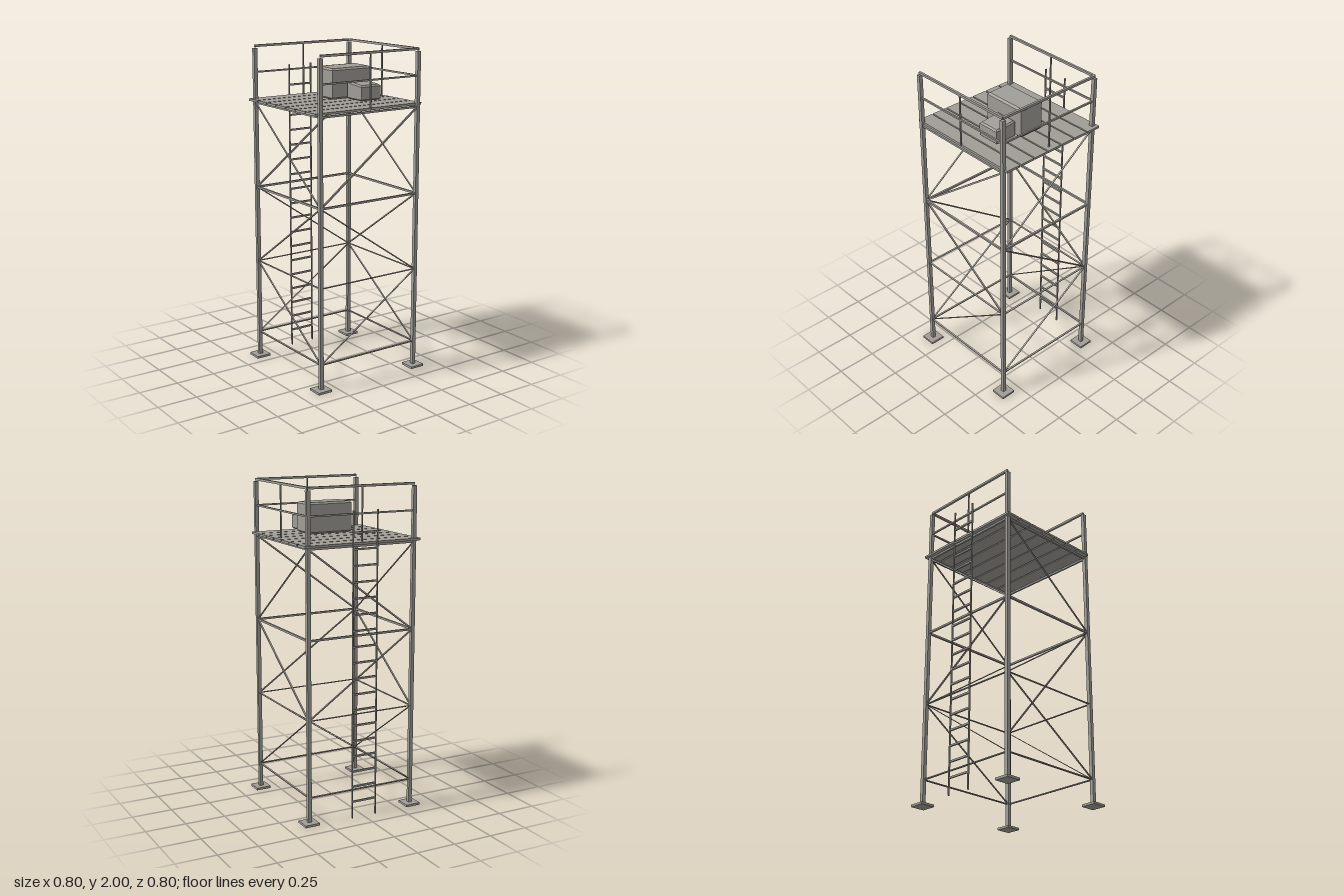
import * as THREE from 'three';

const steel = new THREE.MeshStandardMaterial({ color: 0xa09d97, flatShading: true });
steel.name = 'grey steel';

export function createModel() {
  const model = new THREE.Group();
  model.name = 'watchtower';

  const section = (name) => {
    const g = new THREE.Group();
    g.name = name;
    model.add(g);
    return g;
  };

  const block = (parent, name, size, pos) => {
    const m = new THREE.Mesh(new THREE.BoxGeometry(...size), steel);
    m.name = name;
    m.position.set(...pos);
    parent.add(m);
    return m;
  };

  // Bar from a to b: depth is measured out of the tower face, height within it
  const bar = (parent, name, a, b, depth, height = depth) => {
    const p = new THREE.Vector3(...a), q = new THREE.Vector3(...b);
    const m = block(parent, name, [depth, height, p.distanceTo(q)], [0, 0, 0]);
    m.position.copy(p).add(q).multiplyScalar(0.5);
    m.lookAt(q);
  };

  const R = 0.35;
  const levels = [0.165, 0.64, 1.12, 1.65];

  // Legs and foot plates
  const legs = section('legs');
  for (const x of [-R, R]) {
    for (const z of [-R, R]) {
      block(legs, 'leg', [0.023, 1.97, 0.023], [x, 0.995, z]);
      block(legs, 'footPlate', [0.095, 0.014, 0.095], [x, 0.007, z]);
    }
  }

  // Horizontal beams and zigzag diagonals on all four faces, some of flat strip
  const frame = section('bracing');
  const beamHeight = [0.006, 0.004, 0.012, 0.012];
  const crossHeight = [0.004, 0.007, 0.01];
  const sideHeight = [0.004, 0.007, 0.004];
  for (const s of [-R, R]) {
    levels.forEach((y, i) => {
      bar(frame, 'crossBeam', [-R, y, s], [R, y, s], 0.012, beamHeight[i]);
      bar(frame, 'sideBeam', [s, y, -R], [s, y, R], 0.012, beamHeight[i]);
      if (i === 3) return;
      const d = i % 2 ? -1 : 1;
      const y2 = levels[i + 1];
      bar(frame, 'crossBrace', [-R * d, y, s], [R * d, y2, s], 0.01, crossHeight[i]);
      bar(frame, 'sideBrace', [s, y, R * d], [s, y2, -R * d], 0.01, sideHeight[i]);
    });
  }

  // Deck planks
  const deck = section('deck');
  for (let i = 0; i < 7; i++) {
    block(deck, 'plank', [0.764, 0.014, 0.096], [0, 1.666, -0.329 + i * 0.1047]);
  }

  // Guard rails on three sides, open on the -x side
  const rails = section('guardRails');
  const sides = [
    [[-R, R], [R, R]],
    [[-R, -R], [R, -R]],
    [[R, -R], [R, R]],
  ];
  for (const [[ax, az], [bx, bz]] of sides) {
    bar(rails, 'topRail', [ax, 1.993, az], [bx, 1.993, bz], 0.014);
    bar(rails, 'midRail', [ax, 1.835, az], [bx, 1.835, bz], 0.01);
    const mx = (ax + bx) / 2, mz = (az + bz) / 2;
    block(rails, 'railPost', [0.008, 0.32, 0.008], [mx, 1.83, mz]);
  }

  // Ladder behind the tower
  const ladder = section('ladder');
  for (const x of [-0.08, 0.08]) {
    block(ladder, 'ladderRail', [0.006, 1.86, 0.01], [x, 0.93, -0.39]);
  }
  for (let i = 0; i < 18; i++) {
    block(ladder, 'rung', [0.16, 0.011, 0.011], [0, 0.104 + i * 0.0958, -0.388]);
  }

  // Bevelled crates on the deck
  const crate = (name, [w, h, d], pos, bevel, slope) => {
    const a = w / 2 - bevel, b = d / 2 - bevel;
    const shape = new THREE.Shape([
      new THREE.Vector2(-a, -b), new THREE.Vector2(a, -b),
      new THREE.Vector2(a, b), new THREE.Vector2(-a, b),
    ]);
    const geo = new THREE.ExtrudeGeometry(shape, {
      depth: h - 2 * bevel, bevelEnabled: true, bevelSize: bevel,
      bevelThickness: bevel, bevelSegments: 1,
    });
    geo.rotateX(-Math.PI / 2);
    geo.translate(0, bevel, 0);
    // Lower the lid slightly toward the front
    const p = geo.attributes.position;
    for (let i = 0; i < p.count; i++) {
      if (p.getY(i) > h / 2) p.setY(i, p.getY(i) - slope * (p.getZ(i) / d + 0.5));
    }
    geo.computeVertexNormals();
    const m = new THREE.Mesh(geo, steel);
    m.name = name;
    m.position.set(...pos);
    model.add(m);
  };
  crate('largeCrate', [0.284, 0.187, 0.16], [0.063, 1.693, 0], 0.011, 0.003);
  crate('smallCrate', [0.142, 0.106, 0.142], [0.095, 1.693, 0.159], 0.009, 0.014);

  return model;
}
